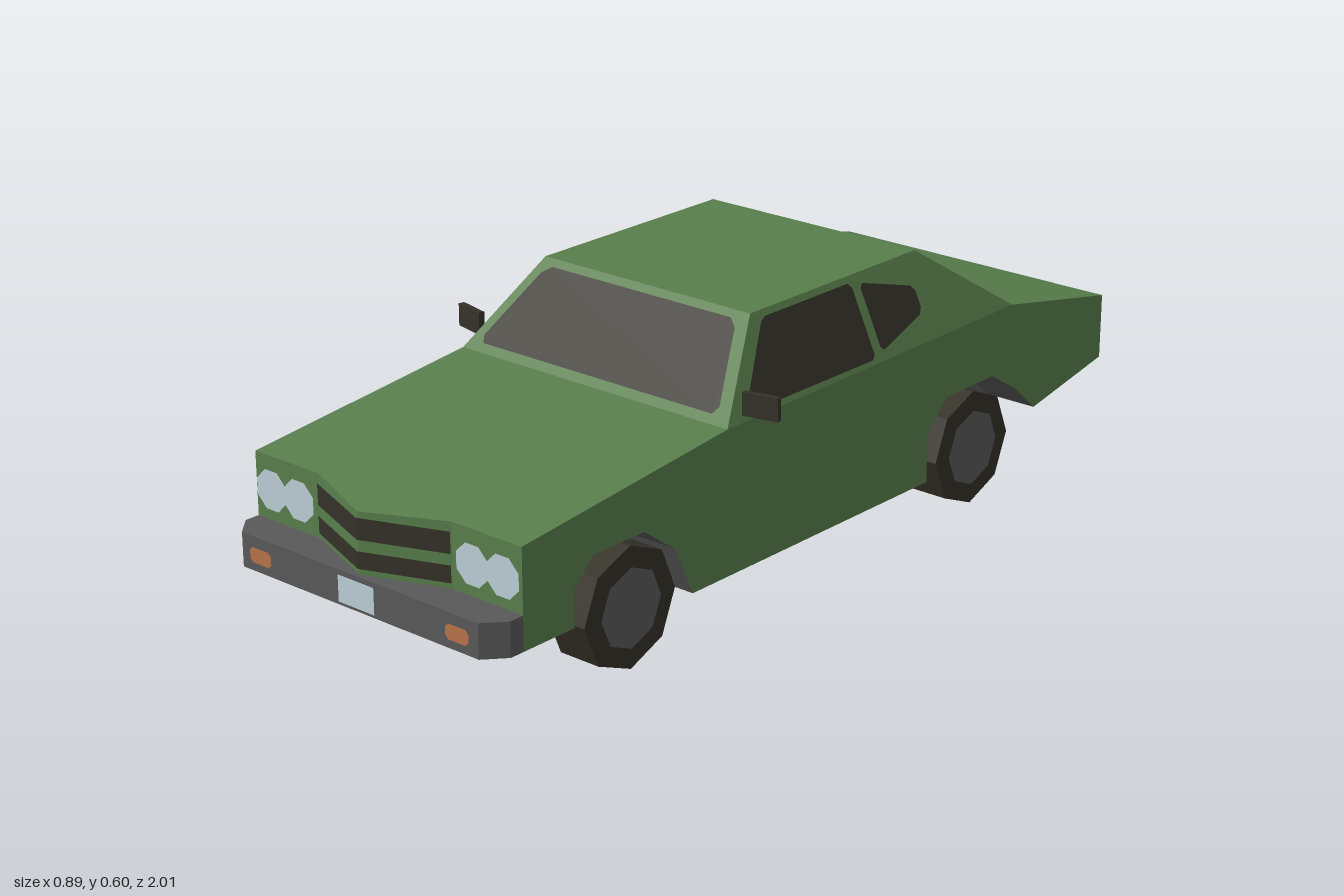
import * as THREE from 'three';
import { mergeGeometries } from 'three/addons/utils/BufferGeometryUtils.js';

const mat = (name, color, side = THREE.DoubleSide) =>
  new THREE.MeshStandardMaterial({ name, color, side, flatShading: true });
const HALF = 0.37, WELL = 0.24, ROOF = 0.285;

// One flat polygon, turned to face the given direction
function face(pts, out) {
  const p = pts.map((a) => new THREE.Vector3(...a));
  const n = new THREE.Vector3();
  p.forEach((a, i) => n.add(a.clone().cross(p[(i + 1) % p.length])));
  const abs = [Math.abs(n.x), Math.abs(n.y), Math.abs(n.z)];
  const drop = abs.indexOf(Math.max(...abs));
  const [u, v] = [[1, 2], [2, 0], [0, 1]][drop];
  const flat = pts.map((a) => new THREE.Vector2(a[u], a[v]));
  const pos = [];
  for (const [a, b, c] of THREE.ShapeUtils.triangulateShape(flat, [])) {
    const m = p[b].clone().sub(p[a]).cross(p[c].clone().sub(p[a]));
    const tri = m.dot(new THREE.Vector3(...out)) < 0 ? [a, c, b] : [a, b, c];
    tri.forEach((i) => pos.push(...pts[i]));
  }
  const g = new THREE.BufferGeometry();
  g.setAttribute('position', new THREE.Float32BufferAttribute(pos, 3));
  g.computeVertexNormals();
  return g;
}

// Trim the corners of a 2D outline
function cut(pts, d) {
  const out = [];
  pts.forEach((p, i) => {
    for (const q of [pts[(i + pts.length - 1) % pts.length], pts[(i + 1) % pts.length]]) {
      const t = d / Math.hypot(q[0] - p[0], q[1] - p[1]);
      out.push([p[0] + (q[0] - p[0]) * t, p[1] + (q[1] - p[1]) * t]);
    }
  });
  return out;
}
const box = (x0, x1, y0, y1) => [[x0, y0], [x1, y0], [x1, y1], [x0, y1]];

export function createModel() {
  const car = new THREE.Group();
  car.name = 'car';
  const paint = mat('green paint', 0x587e4b);
  const grey = mat('grey metal', 0x5a5959);
  const dark = mat('dark glass and rubber', 0x343128);
  const pale = mat('pale lamp', 0xbccdd5);
  const amber = mat('amber lamp', 0xb8734a);

  const add = (name, geo, material) => {
    const m = new THREE.Mesh(Array.isArray(geo) ? mergeGeometries(geo) : geo, material);
    m.name = name;
    car.add(m);
    return m;
  };
  // Band across the car following a [z, y] path
  const band = (path, x0, x1, out) => path.slice(1).map(([z, y], i) => {
    const [pz, py] = path[i];
    return face([[x0, py, pz], [x1, py, pz], [x1, y, z], [x0, y, z]],
      typeof out === 'function' ? out((z + pz) / 2, (y + py) / 2) : out);
  });

  const frontArch = [[0.435, 0.1], [0.49, 0.215], [0.58, 0.28], [0.725, 0.28], [0.78, 0.225], [0.78, 0.145]];
  const rearArch = [[-0.74, 0.16], [-0.665, 0.225], [-0.575, 0.28], [-0.41, 0.28], [-0.34, 0.215], [-0.34, 0.1]];
  const outline = [[0.92, 0.145], [0.92, 0.36], [0.33, 0.42], [-0.64, 0.43], [-1, 0.36], [-1, 0.21],
    ...rearArch, ...frontArch];

  // Painted shell
  const noseZ = (x) => 0.99 - Math.min(Math.abs(x), 0.185) * 0.378;
  const shell = [
    ...band([[-0.64, 0.43], [-1, 0.36]], -HALF, HALF, [0, 1, 0]),
    ...band([[-1, 0.36], [-1, 0.21]], -HALF, HALF, [0, 0, -1]),
  ];
  for (const s of [-1, 1]) {
    shell.push(face(outline.map(([z, y]) => [s * HALF, y, z]), [s, 0, 0]));
    // hood and pointed nose
    shell.push(face([[0, 0.352, 0.99], [s * 0.185, 0.36, 0.92], [s * 0.185, 0.42, 0.33], [0, 0.42, 0.33]], [0, 1, 0]));
    shell.push(face([[s * 0.185, 0.36, 0.92], [s * HALF, 0.36, 0.92], [s * HALF, 0.42, 0.33], [s * 0.185, 0.42, 0.33]], [0, 1, 0]));
    shell.push(face([[0, 0.2, 0.99], [0, 0.352, 0.99], [s * 0.185, 0.36, 0.92], [s * 0.185, 0.2, 0.92]], [0, 0, 1]));
    shell.push(face([[s * 0.185, 0.145, 0.92], [s * HALF, 0.145, 0.92], [s * HALF, 0.36, 0.92], [s * 0.185, 0.36, 0.92]], [0, 0, 1]));
  }
  add('bodyShell', shell, paint);

  // Cabin
  const ring = (s) => [[s * HALF, 0.42, 0.33], [s * ROOF, 0.6, 0.16], [s * ROOF, 0.6, -0.39], [s * HALF, 0.43, -0.64]];
  const [L, R] = [ring(1), ring(-1)];
  const outs = [[0, 0, 1], [0, 1, 0], [0, 0, -1]];
  add('cabin', [
    face(L, [1, 0, 0]), face(R, [-1, 0, 0]),
    ...outs.map((o, i) => face([L[i], L[i + 1], R[i + 1], R[i]], o)),
  ], paint);

  // Windows
  const glass = (pts, z) => pts.map(([x, y]) => [x, y + 0.003, z(y)]);
  add('windshield', face(glass(cut([[-0.335, 0.435], [0.335, 0.435], [0.263, 0.585], [-0.263, 0.585]], 0.015),
    (y) => 0.33 - (y - 0.42) * 0.944 + 0.003), [0, 0, 1]), dark);
  add('rearWindow', face(glass(cut([[-0.33, 0.455], [0.33, 0.455], [0.268, 0.587], [-0.268, 0.587]], 0.015),
    (y) => -0.64 + (y - 0.43) * 1.47 - 0.003), [0, 0, -1]), dark);
  const frontGlass = cut([[0.27, 0.435], [0.135, 0.588], [-0.155, 0.588], [-0.155, 0.435]], 0.01);
  const rearGlass = cut([[-0.18, 0.582], [-0.345, 0.538], [-0.345, 0.485], [-0.18, 0.443]], 0.01);
  for (const s of [-1, 1]) {
    const onSide = ([z, y]) => [s * (HALF - (y - 0.42) * 0.472 + 0.004), y, z];
    add('frontSideWindow', face(frontGlass.map(onSide), [s, 0, 0]), dark);
    add('rearSideWindow', face(rearGlass.map(onSide), [s, 0, 0]), dark);
  }

  // Underside and wheel wells
  const frontFloor = [[0.78, 0.145], [0.435, 0.1]], rearFloor = [[-0.34, 0.1], [-0.74, 0.16]];
  const down = [0, -1, 0];
  add('underside', [
    ...band([[0.92, 0.145], [0.78, 0.145]], -HALF, HALF, down),
    ...band(frontFloor, -WELL, WELL, down),
    ...band([[0.435, 0.1], [-0.34, 0.1]], -HALF, HALF, down),
    ...band(rearFloor, -WELL, WELL, down),
    ...band([[-0.74, 0.16], [-1, 0.21]], -HALF, HALF, down),
  ], grey);
  const axles = [[0.62, frontArch], [-0.505, rearArch]];
  for (const s of [-1, 1]) for (const [az, arch] of axles) {
    add('wheelWell', [
      face(arch.map(([z, y]) => [s * WELL, y, z]), [s, 0, 0]),
      ...band(arch, s * WELL, s * HALF, (z, y) => [0, 0.131 - y, az - z]),
    ], grey);
    // Wheels
    const tyre = new THREE.CylinderGeometry(0.132, 0.132, 0.1, 8).rotateZ(Math.PI / 2);
    add('tyre', tyre, dark).position.set(s * 0.319, 0.132, az);
    const hub = new THREE.CircleGeometry(0.087, 8, 0).rotateY(s * Math.PI / 2);
    add('hubcap', hub, grey).position.set(s * 0.372, 0.132, az);
  }

  // Front bumper with chamfered corners
  const plan = [[-HALF, 0.915], [HALF, 0.915], [HALF, 0.955], [0.33, 1], [-0.33, 1], [-HALF, 0.955]];
  const bumper = new THREE.ExtrudeGeometry(new THREE.Shape(plan.map((p) => new THREE.Vector2(...p))),
    { depth: 0.075, bevelEnabled: false }).rotateX(Math.PI / 2);
  add('frontBumper', bumper, grey).position.y = 0.22;

  // Painted details on the front and rear ends
  const decal = (name, pts, z, dir, material) =>
    add(name, face(pts.map(([x, y]) => [x, y, z]), [0, 0, dir]), material);
  decal('frontPlate', box(-0.05, 0.05, 0.152, 0.21), 1.002, 1, pale);
  decal('rearPanel', box(-0.34, 0.34, 0.245, 0.325), -1.002, -1, grey);
  decal('rearPlate', cut(box(-0.058, 0.058, 0.238, 0.33), 0.02), -1.004, -1, pale);
  for (const s of [-1, 1]) {
    decal('turnSignal', cut(box(s * 0.275 - 0.031, s * 0.275 + 0.031, 0.164, 0.197), 0.008), 1.002, 1, amber);
    decal('tailLight', cut(box(s * 0.29 - 0.052, s * 0.29 + 0.052, 0.237, 0.332), 0.02), -1.004, -1, amber);
    for (const x of [0.242, 0.322]) {
      const lamp = new THREE.CircleGeometry(0.046, 8, Math.PI / 8);
      add('headlight', lamp, pale).position.set(s * x, 0.287, 0.924);
    }
    for (const [y0, y1] of [[0.233, 0.27], [0.294, 0.34]]) {
      const bar = box(0, s * 0.185, y0, y1).map(([x, y]) => [x, y, noseZ(x) + 0.004]);
      add('grilleBar', face(bar, [0, 0, 1]), dark);
    }

    // Door mirrors
    const mirror = new THREE.Group();
    mirror.name = 'doorMirror';
    const housing = new THREE.Mesh(new THREE.BoxGeometry(0.08, 0.05, 0.014), dark);
    housing.name = 'mirrorHousing';
    const reflector = new THREE.Mesh(new THREE.PlaneGeometry(0.07, 0.042).rotateY(Math.PI), pale);
    reflector.name = 'mirrorGlass';
    reflector.position.z = -0.009;
    mirror.add(housing, reflector);
    mirror.position.set(s * 0.405, 0.46, 0.267);
    mirror.rotation.y = s * 0.22;
    car.add(mirror);
  }
  return car;
}
